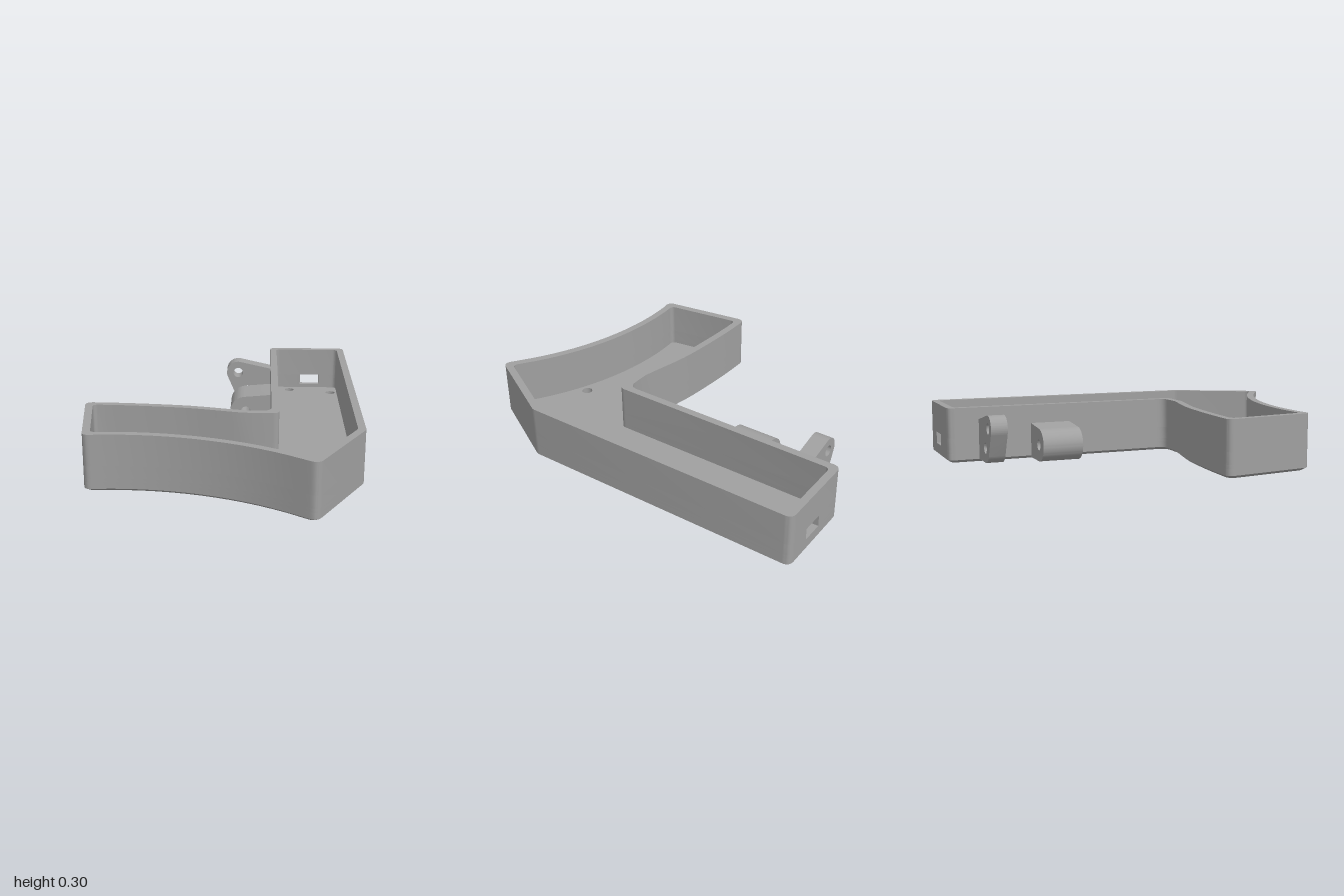
import * as THREE from 'three';
import { toCreasedNormals } from 'three/addons/utils/BufferGeometryUtils.js';

const V = (x, y) => new THREE.Vector2(x, y);
const HEIGHT = 0.3, FLOOR = 0.05, CHAMFER = 0.015, WALL = 0.04;
const PORT = { x0: 0.455, x1: 0.575, y0: 0.07, y1: 0.135 };
const SCREWS = [[0.386, -0.9], [0.645, -0.845], [-0.645, 0.26], [0.127, 0.715]];

// Plan outline in (x, z); r marks a corner to be rounded
function planCorners() {
  const front = [];
  for (let i = 1; i < 16; i++) {
    const x = 0.468 - (1.133 * i) / 16;
    front.push({ p: V(x, 2.15 - Math.sqrt(1.47 ** 2 - (x + 0.48) ** 2)), r: 0 });
  }
  const back = new THREE.SplineCurve([
    V(-0.735, 0.178), V(-0.5, 0.185), V(-0.2, 0.213), V(0, 0.255),
    V(0.09, 0.278), V(0.14, 0.283), V(0.26, 0.283),
  ]).getSpacedPoints(14).slice(1, -1).map((p) => ({ p, r: 0 }));
  return [
    { p: V(0.725, -1), r: 0.04 }, { p: V(0.725, 0.56), r: 0.06 },
    { p: V(0.468, 1.02), r: 0.04 }, ...front,
    { p: V(-0.665, 0.695), r: 0.04 }, { p: V(-0.735, 0.178), r: 0.04 }, ...back,
    { p: V(0.26, 0.283), r: 0.05 }, { p: V(0.26, -1), r: 0.04 },
  ];
}

// Mitred inset of the outline, then rounded corners
function outline(inset, radiusScale = 1) {
  const c = planCorners(), n = c.length;
  const normal = (a, b) => V(a.y - b.y, b.x - a.x).normalize();
  const pts = c.map(({ p }, i) => {
    const n1 = normal(c[(i + n - 1) % n].p, p), n2 = normal(p, c[(i + 1) % n].p);
    const k = inset / (1 + n1.dot(n2));
    return p.clone().addScaledVector(n1.add(n2), k);
  });
  const out = [];
  pts.forEach((p, i) => {
    const r = c[i].r * radiusScale;
    if (!r) return out.push(p);
    const u = pts[(i + n - 1) % n].clone().sub(p).normalize();
    const v = pts[(i + 1) % n].clone().sub(p).normalize();
    const half = Math.acos(u.dot(v)) / 2, t = r / Math.tan(half);
    const curve = new THREE.QuadraticBezierCurve(
      p.clone().addScaledVector(u, t), p, p.clone().addScaledVector(v, t));
    out.push(...curve.getPoints(7));
  });
  return out;
}

const circle = (x, z, r, n = 24) => Array.from({ length: n }, (_, i) => {
  const a = (-i / n) * Math.PI * 2;
  return V(x + r * Math.cos(a), z + r * Math.sin(a));
});

const planShape = (pts, holes = []) => {
  const s = new THREE.Shape(pts);
  s.holes = holes.map((h) => new THREE.Path(h));
  return s;
};

// Vertical extrusion of a plan shape from y0 to y1
const slab = (shape, y0, y1) => new THREE.ExtrudeGeometry(shape, { depth: y1 - y0, bevelEnabled: false })
  .rotateX(Math.PI / 2).translate(0, y1, 0);

// Strip joining two matching loops at different heights
function band(lower, y0, upper, y1) {
  const n = lower.length, pos = [], idx = [];
  for (let i = 0; i < n; i++) {
    const j = (i + 1) % n;
    pos.push(lower[i].x, y0, lower[i].y, upper[i].x, y1, upper[i].y);
    idx.push(2 * i, 2 * i + 1, 2 * j, 2 * i + 1, 2 * j + 1, 2 * j);
  }
  const g = new THREE.BufferGeometry();
  g.setAttribute('position', new THREE.Float32BufferAttribute(pos, 3));
  g.setIndex(idx);
  return g;
}

// Hinge lug profile in (x, y): root on the wall, rounded lobes [x, y, r, from, to] at the tip
function lug(z0, z1, top, bottom, lobes, holes) {
  const s = new THREE.Shape();
  const rad = THREE.MathUtils.degToRad;
  s.moveTo(0.28, bottom);
  s.lineTo(0.28, top);
  lobes.forEach(([x, y, r, a, b]) => s.absarc(x, y, r, rad(a), rad(b), false));
  s.closePath();
  holes.forEach(([x, y]) => s.holes.push(new THREE.Path(circle(x, y, 0.03))));
  return new THREE.ExtrudeGeometry(s, { depth: z1 - z0, bevelEnabled: false, curveSegments: 16 })
    .translate(0, 0, z0);
}

export function createModel() {
  const group = new THREE.Group();
  const grey = new THREE.MeshStandardMaterial({ color: 0xa0a0a0 });
  grey.name = 'grey plastic';
  const add = (name, geometry) => {
    const mesh = new THREE.Mesh(toCreasedNormals(geometry, 0.5), grey);
    mesh.name = name;
    group.add(mesh);
  };

  const outer = outline(0), inner = outline(WALL, 0.7), base = outline(0.02);
  const bores = SCREWS.map(([x, z]) => circle(x, z, 0.029));
  const sinks = SCREWS.map(([x, z]) => circle(x, z, 0.042));

  // Floor with chamfered underside and countersunk screw holes
  add('floor', slab(planShape(outer, bores), CHAMFER, FLOOR));
  add('underside', new THREE.ShapeGeometry(planShape(base, sinks)).rotateX(Math.PI / 2));
  add('bottomChamfer', band(base, 0, outer, CHAMFER));
  sinks.forEach((s, i) => add('countersink', band(s, 0, bores[i], CHAMFER)));

  // Walls in three layers; the middle one leaves the cable port open at the back
  const ring = planShape(outer, [inner]);
  add('lowerWall', slab(ring, FLOOR, PORT.y0));
  const open = planShape([
    V(PORT.x1, -1), ...outer, V(PORT.x0, -1),
    V(PORT.x0, -1 + WALL), ...inner.slice().reverse(), V(PORT.x1, -1 + WALL),
  ]);
  add('portWall', slab(open, PORT.y0, PORT.y1));
  add('upperWall', slab(ring, PORT.y1, HEIGHT));

  // Hinge lugs on the inner side of the long arm
  add('thinLug', lug(-0.83, -0.74, 0.23, 0.015,
    [[0.06, 0.207, 0.07, 80, 208], [0.12, 0.095, 0.08, 208, 270]],
    [[0.06, 0.207], [0.12, 0.095]]));
  add('wideLug', lug(-0.535, -0.31, 0.2, 0.005,
    [[0.115, 0.095, 0.09, 95, 270]], [[0.115, 0.095]]));

  return group;
}
